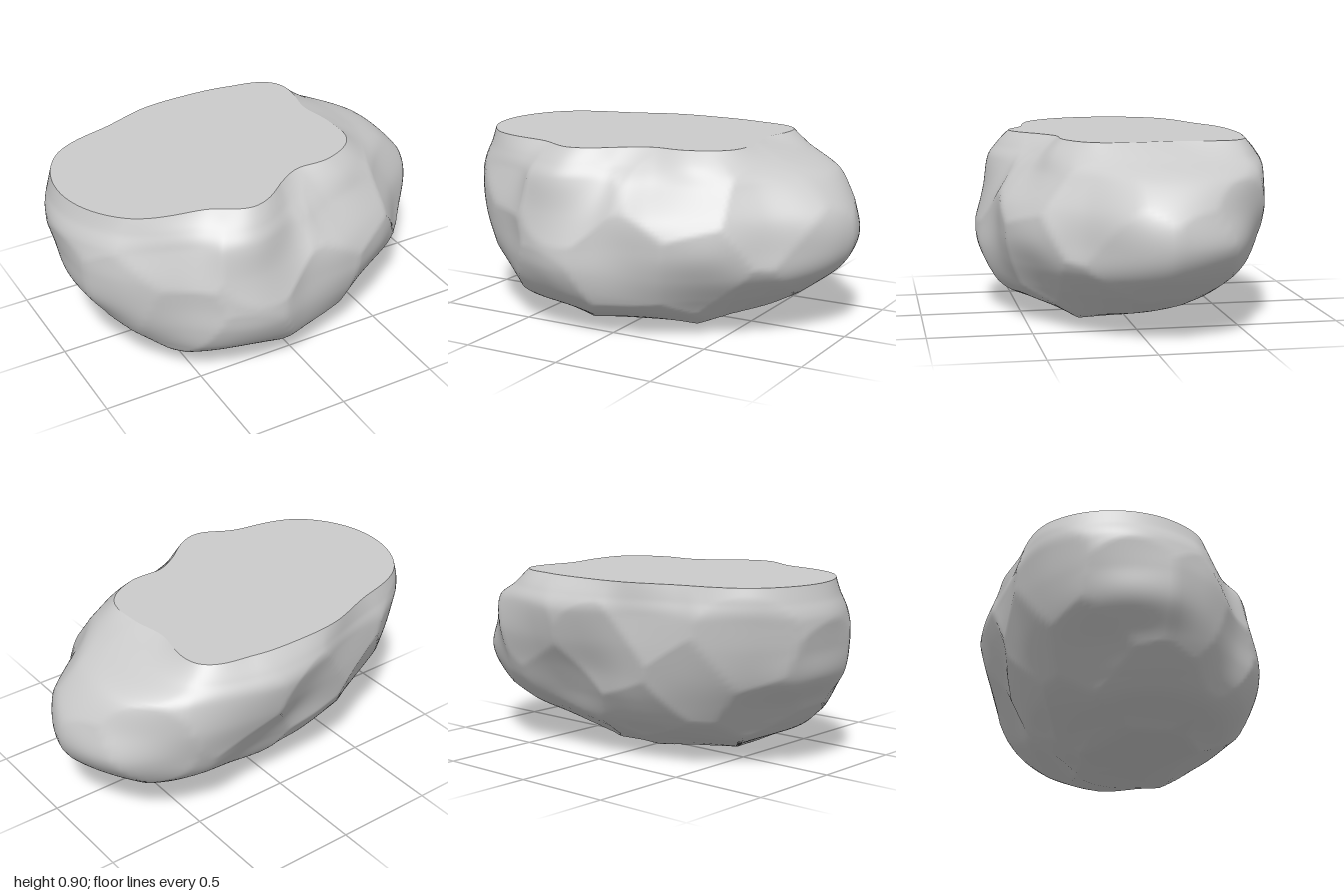
import * as THREE from 'three';

// Radii of the rock at 16 directions (from +x turning toward +z), one row per height
const HEIGHTS = [0.03, 0.1, 0.2, 0.32, 0.45, 0.6, 0.75, 0.83, 0.9];
const RADII = [
  [.43, .42, .40, .40, .41, .43, .45, .46, .42, .32, .22, .17, .15, .17, .24, .36],
  [.59, .55, .50, .51, .53, .58, .64, .66, .61, .49, .38, .31, .29, .32, .40, .52],
  [.76, .67, .60, .59, .61, .68, .74, .77, .72, .62, .52, .46, .42, .47, .57, .73],
  [.93, .78, .69, .65, .65, .735, .785, .87, .83, .74, .62, .55, .50, .56, .72, .90],
  [.985, .80, .73, .67, .645, .735, .79, .93, .96, .84, .69, .60, .56, .64, .79, .98],
  [.95, .78, .69, .64, .61, .72, .78, .94, .985, .90, .73, .64, .63, .71, .83, .94],
  [.81, .68, .59, .52, .53, .70, .74, .90, .985, .92, .74, .65, .66, .73, .81, .86],
  [.65, .60, .53, .44, .46, .64, .69, .87, .965, .915, .72, .64, .64, .69, .75, .70],
  [.51, .53, .45, .355, .40, .57, .62, .85, .95, .905, .70, .63, .60, .63, .69, .52],
];
const SEGMENTS = 192, ROWS = 70, BOTTOM_ROWS = 16;

const spline = (a, b, c, d, t) =>
  b + 0.5 * t * (c - a + t * (2 * a - 5 * b + 4 * c - d + t * (3 * (b - c) + d - a)));

// Smooth lookup along the heights and around the outline
function sample(list, s) {
  const n = list.length, i = Math.min(Math.floor(s), n - 2);
  const at = (k) => list[Math.max(0, Math.min(n - 1, k))];
  return spline(at(i - 1), at(i), at(i + 1), at(i + 2), s - i);
}
function around(row, s) {
  const n = row.length, i = Math.floor(s);
  const at = (k) => row[(k + n) % n];
  return spline(at(i - 1), at(i), at(i + 1), at(i + 2), s - i);
}

// Centres of the shallow chipped hollows; ridges form where hollows meet
const hollows = [
  [.13, .36, .62], [-.65, .38, .5], [-.8, .47, .36], [.9, .36, -.25], [.8, .5, -.5],
  [.47, .33, .5], [.72, .6, .25], [.32, .68, .42], [-.2, .7, .62], [-.6, .72, .45],
].map((p) => new THREE.Vector3(...p));
for (let i = 0; i < 36; i++) {
  const h = 1 - (2 * i + 1) / 36, a = i * 2.39996, r = Math.sqrt(1 - h * h);
  const p = new THREE.Vector3(.9 * r * Math.cos(a), .47 + .47 * h, .64 * r * Math.sin(a));
  if (hollows.every((q) => q.distanceTo(p) > .28)) hollows.push(p);
}
function chip(p) {
  let d = 1;
  for (const q of hollows) d = Math.min(d, q.distanceTo(p));
  return Math.min(d * d, .07) * 0.5 - 0.018;
}

function buildRock() {
  const pos = [], index = [], p = new THREE.Vector3();
  const total = BOTTOM_ROWS + ROWS;
  for (let j = 0; j <= total; j++) {
    const s = Math.max(0, (j - BOTTOM_ROWS) / ROWS) * (HEIGHTS.length - 1);
    const under = Math.min(1, j / BOTTOM_ROWS);
    for (let i = 0; i < SEGMENTS; i++) {
      const a = (i / SEGMENTS) * Math.PI * 2, u = (i / SEGMENTS) * 16;
      const r = sample(RADII.map((row) => around(row, u)), s);
      let y = j < BOTTOM_ROWS ? HEIGHTS[0] * under ** 3 : sample(HEIGHTS, s);
      // The underside closes toward a low point set forward of centre
      p.set(r * Math.cos(a) * under, y, .14 * (1 - under) + r * Math.sin(a) * under);
      // Chipping fades out at the cut edge
      const bump = chip(p) * Math.min(1, (.9 - y) / .15);
      p.x += bump * Math.cos(a) * under;
      p.z += bump * Math.sin(a) * under;
      // Hollows also lift the lowest part of the rock
      y += Math.max(0, .02 - bump) * under * Math.max(0, 1 - y / .2);
      pos.push(p.x, y, p.z);
    }
  }
  for (let j = 0; j < total; j++) {
    for (let i = 0; i < SEGMENTS; i++) {
      const k = (i + 1) % SEGMENTS, lo = j * SEGMENTS, hi = lo + SEGMENTS;
      if (j > 0) index.push(lo + i, hi + i, lo + k);
      index.push(lo + k, hi + i, hi + k);
    }
  }
  return makeGeometry(pos, index);
}

// Flat cut face filling the topmost ring
function buildTop(rock) {
  const src = rock.attributes.position, start = src.count - SEGMENTS;
  const pos = [0, .9, 0], index = [];
  for (let i = 0; i < SEGMENTS; i++) {
    pos.push(src.getX(start + i), src.getY(start + i), src.getZ(start + i));
    index.push(0, 1 + (i + 1) % SEGMENTS, 1 + i);
  }
  return makeGeometry(pos, index);
}

function makeGeometry(pos, index) {
  const geo = new THREE.BufferGeometry();
  geo.setAttribute('position', new THREE.Float32BufferAttribute(pos, 3));
  geo.setIndex(index);
  geo.computeVertexNormals();
  return geo;
}

export function createModel() {
  const group = new THREE.Group();
  group.name = 'boulder';
  const material = new THREE.MeshStandardMaterial({ color: 0xcccccc });
  const rock = new THREE.Mesh(buildRock(), material);
  rock.name = 'rockBody';
  const top = new THREE.Mesh(buildTop(rock.geometry), material);
  top.name = 'flatTop';
  group.add(rock, top);
  return group;
}
